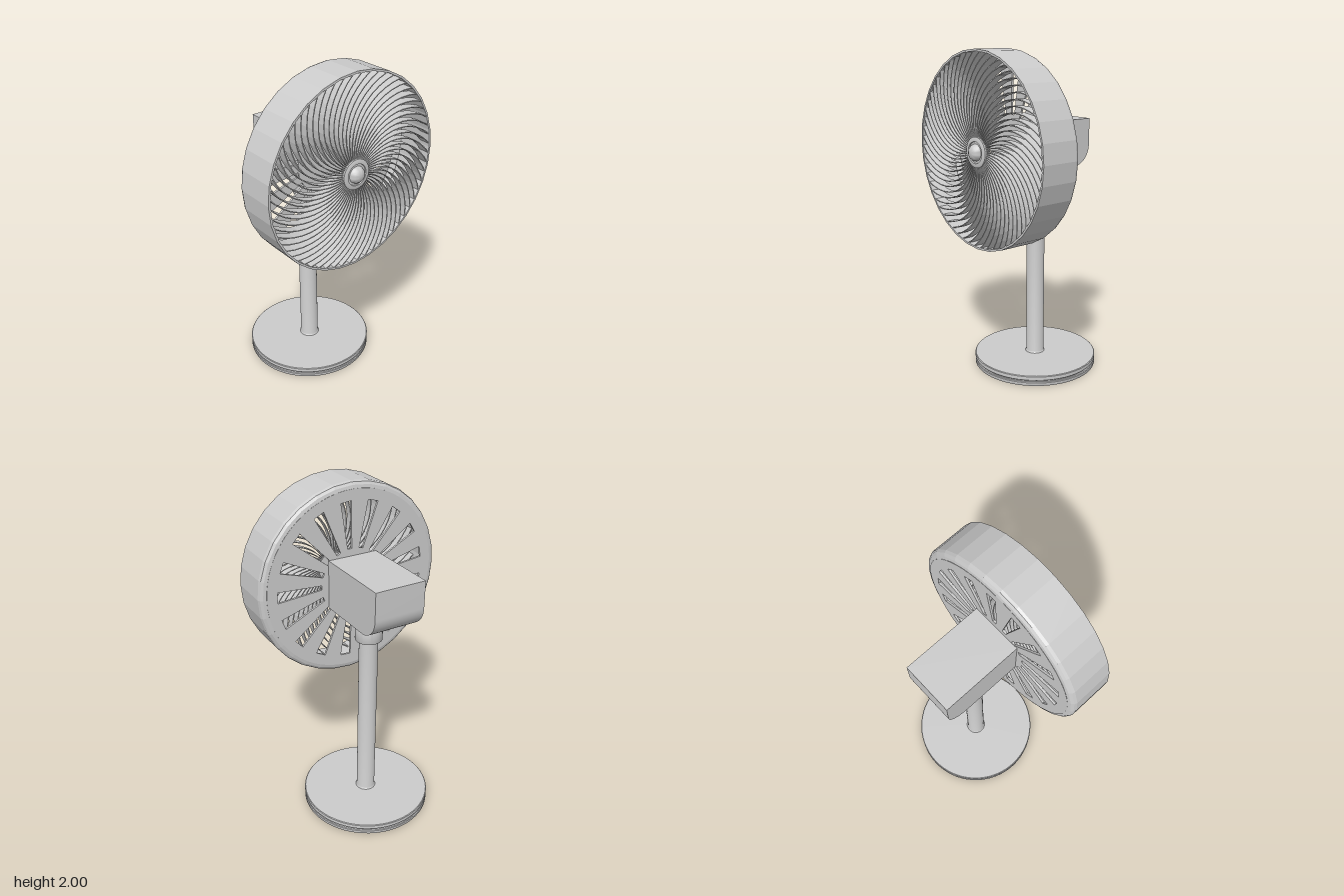
import * as THREE from 'three';
import { toCreasedNormals } from 'three/addons/utils/BufferGeometryUtils.js';

const grey = new THREE.MeshStandardMaterial({ color: 0xcccccc });
const facetedGrey = new THREE.MeshStandardMaterial({ color: 0xcccccc, flatShading: true, side: THREE.DoubleSide });

const HEAD_Y = 1.42;
const FRONT_Z = 0.455;
const BACK_Z = 0.187;

function part(name, geometry, material = grey) {
  const mesh = new THREE.Mesh(geometry, material);
  mesh.name = name;
  return mesh;
}

// Profile points are [radius, height], listed from bottom to top
function lathe(points, segments) {
  return new THREE.LatheGeometry(points.map(([r, y]) => new THREE.Vector2(r, y)), segments);
}

function smoothLathe(points, segments = 48) {
  return toCreasedNormals(lathe(points, segments), 0.6);
}

// Drum wall with a rounded back edge and a thin open front
function drumGeometry() {
  const profile = [[0.535, BACK_Z], [0.56, 0.193], [0.574, 0.204], [0.58, 0.22],
    [0.58, FRONT_Z], [0.568, FRONT_Z], [0.568, 0.225], [0.535, 0.2]];
  return lathe(profile, 32).rotateX(Math.PI / 2);
}

// Back plate pierced by radial wedge slots
function backPlateGeometry(slots = 17) {
  const plate = new THREE.Shape().absarc(0, 0, 0.54, 0, Math.PI * 2);
  for (let i = 0; i < slots; i++) {
    const a = (i / slots) * Math.PI * 2;
    const corner = (r, w) => new THREE.Vector2(
      r * Math.cos(a) - w * Math.sin(a), r * Math.sin(a) + w * Math.cos(a));
    plate.holes.push(new THREE.Path([
      corner(0.2, -0.013), corner(0.2, 0.013), corner(0.475, 0.033), corner(0.475, -0.033)]));
  }
  return new THREE.ExtrudeGeometry(plate, { depth: 0.013, bevelEnabled: false, curveSegments: 32 })
    .translate(0, 0, BACK_Z);
}

// Swirled grille rib, thin at the hub and deeper toward the rim
function ribGeometry() {
  const inner = 0.075, outer = 0.572, steps = 12;
  const left = [], right = [];
  for (let i = 0; i <= steps; i++) {
    const t = i / steps;
    const r = inner + (outer - inner) * t;
    const angle = -0.7 * Math.pow(t, 1.5);
    const half = (0.002 + 0.002 * t) / r;
    left.push(new THREE.Vector2(r * Math.cos(angle + half), r * Math.sin(angle + half)));
    right.push(new THREE.Vector2(r * Math.cos(angle - half), r * Math.sin(angle - half)));
  }
  const shape = new THREE.Shape([...right, ...left.reverse()]);
  const geometry = new THREE.ExtrudeGeometry(shape, { depth: 1, bevelEnabled: false });
  const p = geometry.attributes.position;
  for (let i = 0; i < p.count; i++) {
    const r = Math.hypot(p.getX(i), p.getY(i));
    const depth = 0.02 + 0.045 * (r - inner) / (outer - inner);
    p.setZ(i, FRONT_Z - 0.003 - (p.getZ(i) < 0.5 ? depth : 0));
  }
  geometry.computeVertexNormals();
  return geometry;
}

// Motor housing: side profile with a rounded lower rear corner
function housingGeometry() {
  const side = new THREE.Shape();
  side.moveTo(0.195, 1.285);
  side.lineTo(0.195, 1.575);
  side.lineTo(-0.3, 1.575);
  side.lineTo(-0.3, 1.415);
  side.absarc(-0.17, 1.415, 0.13, Math.PI, Math.PI * 1.5, false);
  side.closePath();
  const geometry = new THREE.ExtrudeGeometry(side, { depth: 0.31, bevelEnabled: false, curveSegments: 10 });
  return toCreasedNormals(geometry.rotateY(-Math.PI / 2).translate(0.155, 0, 0), 0.5);
}

function createHead() {
  const head = new THREE.Group();
  head.name = 'fanHead';
  head.position.y = HEAD_Y;

  head.add(part('drum', drumGeometry(), facetedGrey));
  head.add(part('slottedBackPlate', backPlateGeometry()));

  // Spiral front grille
  const grille = new THREE.Group();
  grille.name = 'frontGrille';
  const rib = ribGeometry();
  const count = 60;
  for (let i = 0; i < count; i++) {
    const mesh = part('grilleRib', rib);
    mesh.rotation.z = (i / count) * Math.PI * 2;
    grille.add(mesh);
  }
  head.add(grille);

  // Hub: stepped disc with a domed button
  const hub = [[0, 0.425], [0.09, 0.425], [0.09, 0.461], [0.078, 0.466], [0.064, 0.466], [0.062, 0.46],
    [0.05, 0.46], [0.046, 0.474], [0.036, 0.488], [0.02, 0.496], [0, 0.498]];
  head.add(part('hub', smoothLathe(hub, 32).rotateX(Math.PI / 2)));
  return head;
}

export function createModel() {
  const fan = new THREE.Group();
  fan.name = 'deskFan';
  fan.position.set(-0.18, 0, -0.15);
  fan.rotation.y = Math.PI / 6;

  // Round base with a groove around its edge
  fan.add(part('base', smoothLathe([[0, 0], [0.388, 0], [0.39, 0.004], [0.39, 0.02], [0.386, 0.024],
    [0.376, 0.024], [0.376, 0.034], [0.386, 0.034], [0.39, 0.038], [0.39, 0.06], [0.386, 0.064], [0, 0.064]], 64)));

  // Pole with a small flare at the foot
  fan.add(part('pole', smoothLathe([[0.064, 0.062], [0.059, 0.067], [0.056, 0.076], [0.056, 1.24]], 32)));

  // Swivel collar under the housing
  fan.add(part('swivelCollar', smoothLathe([[0.055, 1.13], [0.078, 1.13], [0.08, 1.134], [0.08, 1.222],
    [0.076, 1.228], [0.066, 1.228], [0.066, 1.24], [0.078, 1.24], [0.078, 1.29], [0, 1.29]], 32)));

  fan.add(part('motorHousing', housingGeometry()));
  fan.add(createHead());

  const model = new THREE.Group();
  model.name = 'model';
  model.add(fan);
  return model;
}
